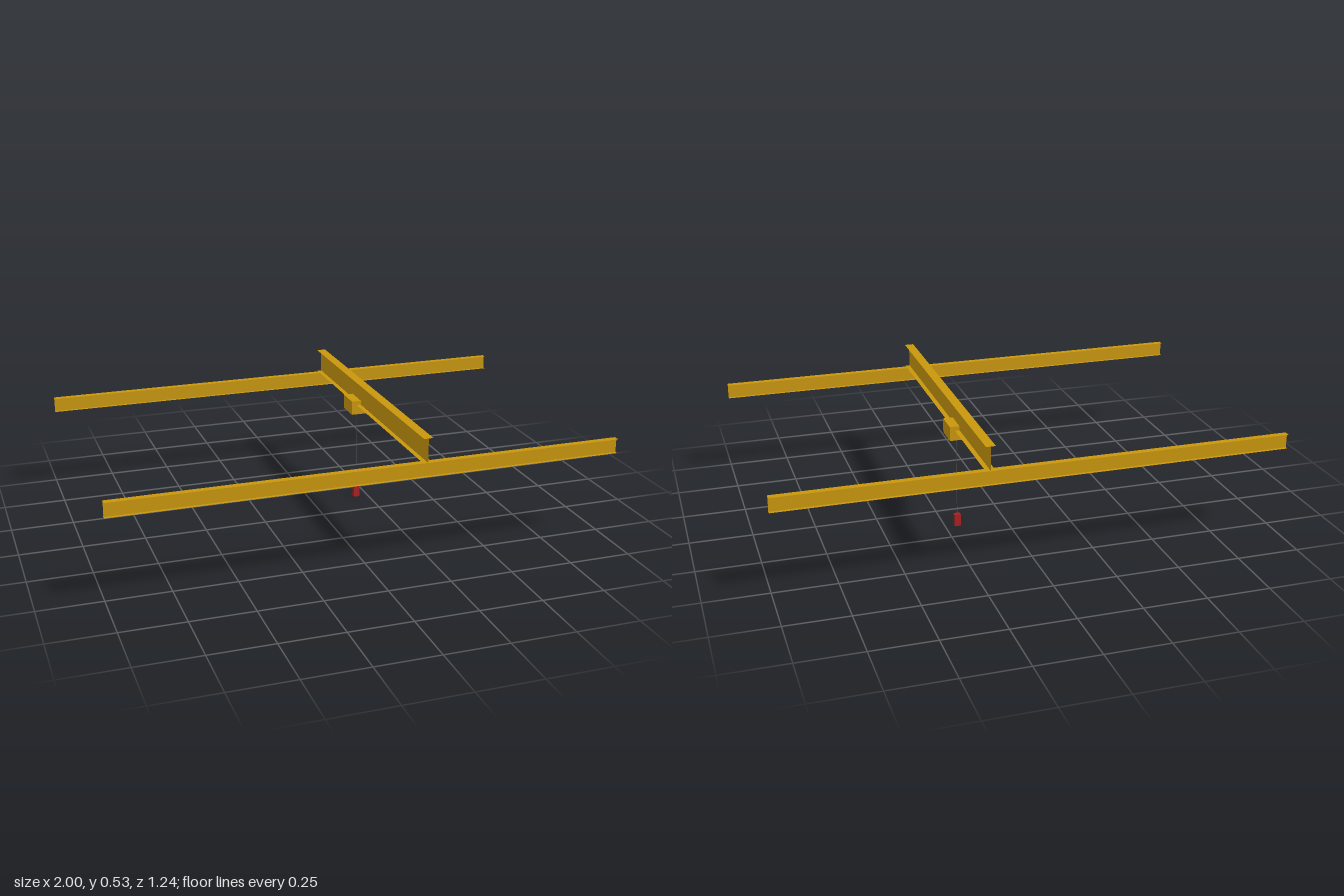
import * as THREE from 'three';

const yellow = new THREE.MeshStandardMaterial({ name: 'crane yellow', color: 0xc8960c, side: THREE.DoubleSide });
const red = new THREE.MeshStandardMaterial({ name: 'control red', color: 0xa82022 });
const grey = new THREE.MeshStandardMaterial({ name: 'cable grey', color: 0x555555 });

function add(parent, name, geometry, material, x, y, z) {
  const mesh = new THREE.Mesh(geometry, material);
  mesh.name = name;
  mesh.position.set(x, y, z);
  parent.add(mesh);
  return mesh;
}

// Sheet I-beam running along x, standing on its own y = 0
function iBeam(name, length, height, width) {
  const beam = new THREE.Group();
  beam.name = name;
  add(beam, 'web', new THREE.PlaneGeometry(length, height), yellow, 0, height / 2, 0);
  for (const [part, y] of [['bottomFlange', 0], ['topFlange', height]]) {
    const flange = new THREE.PlaneGeometry(length, width).rotateX(-Math.PI / 2);
    add(beam, part, flange, yellow, 0, y, 0);
  }
  return beam;
}

export function createModel() {
  const crane = new THREE.Group();
  crane.name = 'overheadCrane';

  // Two parallel runway beams
  for (const [name, z] of [['frontRunway', 0.6], ['backRunway', -0.6]]) {
    const runway = iBeam(name, 2, 0.057, 0.026);
    runway.position.set(0, 0.371, z);
    crane.add(runway);
  }

  // Bridge beam resting across the runways
  const bridge = iBeam('bridge', 1.238, 0.096, 0.037);
  bridge.rotation.y = Math.PI / 2;
  bridge.position.set(0.2, 0.43, 0);
  crane.add(bridge);

  // Trolley with its hanging control
  const trolley = new THREE.Group();
  trolley.name = 'trolley';
  trolley.position.set(0.2, 0, -0.15);
  add(trolley, 'hoist', new THREE.BoxGeometry(0.078, 0.058, 0.1), yellow, 0, 0.418, 0);
  add(trolley, 'cable', new THREE.CylinderGeometry(0.001, 0.001, 0.34, 8), grey, 0, 0.22, 0);
  add(trolley, 'pendantControl', new THREE.BoxGeometry(0.025, 0.05, 0.02), red, 0, 0.025, 0);
  crane.add(trolley);

  return crane;
}
